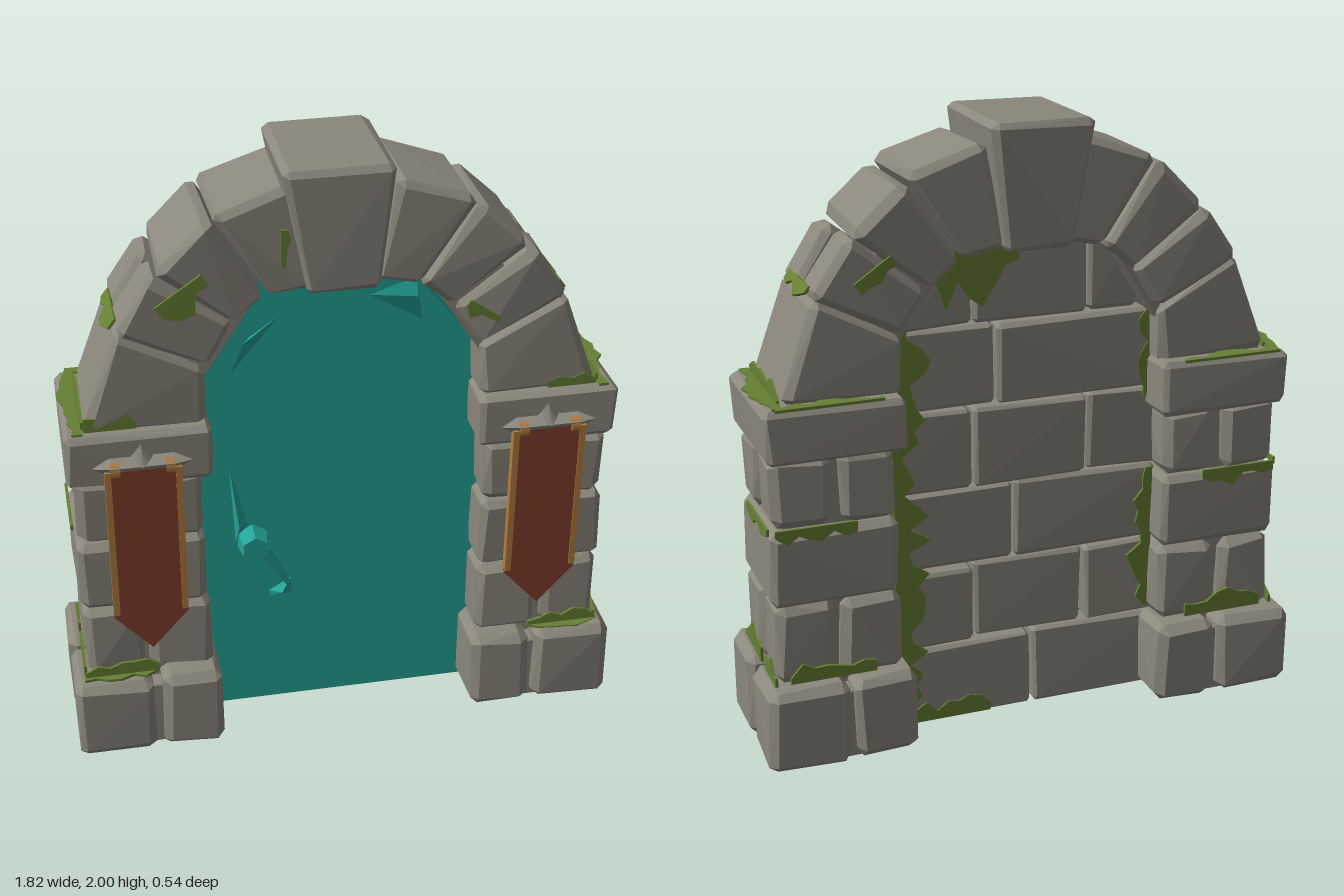
import * as THREE from 'three';
import { ConvexGeometry } from 'three/addons/geometries/ConvexGeometry.js';

const mat = (name, color, side = THREE.FrontSide) => {
  const m = new THREE.MeshStandardMaterial({ color, side });
  m.name = name;
  return m;
};

export function createModel() {
  const stoneMat = mat('stone grey', 0x8b877c);
  const mossMat = mat('moss green', 0x668033);
  const doorMat = mat('door teal', 0x23a598);
  const clothMat = mat('banner red', 0x84402f);
  const trimMat = mat('trim ochre', 0xb57c40);

  let seed = 7;
  const rnd = () => (seed = (seed * 16807) % 2147483647) / 2147483647;

  const root = new THREE.Group();
  root.name = 'stoneArchDoorway';
  const group = (name) => {
    const g = new THREE.Group();
    g.name = name;
    root.add(g);
    return g;
  };
  const add = (parent, name, geo, material) => {
    const m = new THREE.Mesh(geo, material);
    m.name = name;
    parent.add(m);
    return m;
  };

  // Chipped stone: a four-cornered outline pushed through z, with cut, slightly uneven corners
  function stone(parent, name, [a, b, c, d], z0, z1, cut = 0.025, rough = 0.012) {
    const at = (u, v, w) => new THREE.Vector3(
      (1 - v) * ((1 - u) * a[0] + u * b[0]) + v * ((1 - u) * d[0] + u * c[0]),
      (1 - v) * ((1 - u) * a[1] + u * b[1]) + v * ((1 - u) * d[1] + u * c[1]),
      z0 + (z1 - z0) * w);
    const size = [
      at(0, 0.5, 0).distanceTo(at(1, 0.5, 0)),
      at(0.5, 0, 0).distanceTo(at(0.5, 1, 0)),
      Math.abs(z1 - z0)];
    const pts = [];
    for (let i = 0; i < 8; i++) {
      const side = [i & 1, (i >> 1) & 1, (i >> 2) & 1];
      const shift = side.map(() => rnd() * rough);
      for (let axis = 0; axis < 3; axis++) {
        const p = side.map((s, k) => {
          const inset = (shift[k] + rnd() * 0.003 + (k === axis ? 0 : cut * (0.6 + rnd() * 0.5))) / size[k];
          return s ? 1 - inset : inset;
        });
        pts.push(at(...p));
      }
    }
    return add(parent, name, new ConvexGeometry(pts), stoneMat);
  }
  const block = (parent, name, x0, x1, y0, y1, z0, z1, cut, rough) =>
    stone(parent, name, [[x0, y0], [x1, y0], [x1, y1], [x0, y1]], z0, z1, cut, rough);

  // Thin moss patch with one ragged edge
  const mossGroup = group('moss');
  function moss(w, h, pos, rot = [0, 0, 0]) {
    const s = new THREE.Shape();
    s.moveTo(-w / 2, h / 2);
    const n = Math.max(4, Math.round(w / 0.04));
    for (let i = 0; i <= n; i++) {
      const ends = Math.sin((Math.PI * (i + 0.6)) / (n + 1.2));
      s.lineTo(-w / 2 + (w * i) / n, h / 2 - h * (0.3 + 0.7 * rnd()) * (0.4 + 0.6 * ends));
    }
    s.lineTo(w / 2, h / 2);
    const geo = new THREE.ExtrudeGeometry(s, { depth: 0.009, bevelEnabled: false });
    geo.translate(0, 0, -0.005);
    const m = add(mossGroup, 'mossPatch', geo, mossMat);
    m.position.set(...pos);
    m.rotation.set(...rot);
  }

  const Q = Math.PI / 2;
  for (const s of [-1, 1]) {
    const pillar = group(s > 0 ? 'leftPillar' : 'rightPillar');
    const b = (name, x0, x1, ...rest) => block(pillar, name, s * x0, s * x1, ...rest);
    // Course of four stones parted by a cross-shaped gap
    const quarters = (name, x0, xm, x1, y0, y1, z0, z1, gap) => {
      for (const [xa, xb] of [[x0, xm - gap], [xm + gap, x1]])
        for (const [za, zb] of [[z0, -gap], [gap, z1]]) b(name, xa, xb, y0, y1, za, zb, 0.03);
    };
    b('pillarCore', 0.48, 0.82, 0.01, 1.1, -0.16, 0.16, 0.005, 0);
    b('footCore', 0.45, 0.88, 0.004, 0.24, -0.23, 0.22, 0.005, 0);
    quarters('footStone', 0.415, 0.635, 0.915, 0, 0.29, -0.275, 0.265, 0.004);
    quarters('lowerStone', 0.44, 0.66, 0.865, 0.27, 0.545, -0.205, 0.2, 0.004);
    b('middleStone', 0.445, 0.87, 0.535, 0.8, -0.205, 0.2);
    quarters('upperStone', 0.45, 0.65, 0.86, 0.785, 1.03, -0.205, 0.2, 0.012);
    b('capital', 0.42, 0.88, 1.01, 1.2, -0.245, 0.225, 0.02);

    // Moss on the ledges of foot and capital, and in the side joints
    moss(0.42, 0.07, [s * 0.85, 1.198, -0.01], [-Q, 0, s * Q]);
    moss(0.34, 0.06, [s * 0.67, 1.198, -0.205], [-Q, 0, 0]);
    moss(0.16, 0.08, [s * 0.73, 1.235, 0.178], [0, 0, Math.PI]);
    moss(0.34, 0.08, [s * 0.815, 1.235, 0], [0, s * Q, Math.PI]);
    moss(0.24, 0.08, [s * 0.745, 0.325, 0.2], [0, 0, Math.PI]);
    moss(0.24, 0.05, [s * 0.75, 0.286, 0.215], [-Q, 0, 0]);
    moss(0.2, 0.09, [s * 0.865, 0.325, 0.09], [0, s * Q, Math.PI]);
    moss(0.14, 0.08, [s * 0.865, 0.32, -0.13], [0, s * Q, Math.PI]);
    moss(0.26, 0.06, [s * 0.867, 0.775, -0.05], [0, s * Q, 0]);
    moss(0.1, 0.12, [s * 0.825, 0.93, -0.01], [0, s * Q, 0]);
    moss(0.26, 0.07, [s * 0.72, 0.77, -0.204], [0, Math.PI, 0]);
    moss(0.28, 0.09, [s * 0.68, 0.33, -0.204], [0, Math.PI, Math.PI]);

    // Arch stones, from the capital up to the keystone
    const arch = group(s > 0 ? 'leftArch' : 'rightArch');
    const v = (...pts) => pts.map(([x, y]) => [x * s, y]);
    stone(arch, 'springerStone', v([0.42, 1.18], [0.83, 1.18], [0.695, 1.53], [0.425, 1.365]), -0.195, 0.185);
    const second = v([0.425, 1.365], [0.715, 1.5], [0.585, 1.7], [0.33, 1.505]);
    stone(arch, 'archStone', second, 0.006, 0.185);
    stone(arch, 'archStone', second, -0.195, -0.012);
    stone(arch, 'archStone', v([0.335, 1.5], [0.59, 1.69], [0.41, 1.86], [0.23, 1.585]), -0.2, 0.18);
    stone(arch, 'archStone', v([0.235, 1.585], [0.42, 1.86], [0.15, 1.95], [0.09, 1.605]), -0.195, 0.18);
    stone(arch, 'archCore', v([0.45, 1.3], [0.7, 1.38], [0.38, 1.76], [0.26, 1.59]), -0.15, 0.15, 0.005, 0);
    moss(0.22, 0.07, [s * 0.71, 1.505, 0], [-Q, s * 0.9, s * Q]);

    // Hanging banner
    const banner = group(s > 0 ? 'leftBanner' : 'rightBanner');
    const cloth = new THREE.Shape(
      [[-0.118, 0], [-0.118, -0.55], [0, -0.685], [0.118, -0.55], [0.118, 0]].map((p) => new THREE.Vector2(...p)));
    add(banner, 'bannerCloth', new THREE.ExtrudeGeometry(cloth, { depth: 0.02, bevelEnabled: false }), clothMat);
    for (const e of [-1, 1]) {
      const trim = add(banner, 'bannerTrim', new THREE.BoxGeometry(0.02, 0.54, 0.028), trimMat);
      trim.position.set(e * 0.109, -0.27, 0.01);
      const wrap = add(banner, 'rodWrap', new THREE.CylinderGeometry(0.027, 0.027, 0.03, 6), trimMat);
      wrap.rotation.z = Q;
      wrap.position.set(e * 0.085, 0, 0.005);
    }
    const rod = add(banner, 'bannerRod', new ConvexGeometry([
      [-0.155, 0.01, 0], [-0.1, 0.03, -0.02], [0.1, 0.03, -0.02], [0.155, 0.01, 0], [-0.09, -0.028, 0],
      [0.09, -0.028, 0], [-0.1, 0.015, 0.022], [0.1, 0.015, 0.022]].map((p) => new THREE.Vector3(...p))), stoneMat);
    rod.position.z = 0.006;
    const hook = add(banner, 'bannerHook', new THREE.ConeGeometry(0.045, 0.06, 4), stoneMat);
    hook.position.set(0, 0.045, -0.01);
    banner.position.set(s * 0.643, 1.09, 0.233);
    banner.rotation.x = 0.03;
  }

  // Keystone
  stone(group('keystone'), 'keystoneBlock',
    [[-0.12, 1.6], [0.105, 1.6], [0.155, 2], [-0.2, 2]], -0.225, 0.215, 0.02, 0.006);

  // Moss on the arch front and back
  moss(0.17, 0.1, [-0.48, 1.6, 0.183], [0, 0, 0.6]);
  moss(0.12, 0.05, [-0.172, 1.75, 0.181], [0, 0, Q]);
  moss(0.12, 0.06, [0.42, 1.47, 0.183], [0, 0, -0.6]);
  moss(0.14, 0.07, [0.5, 1.56, -0.197], [0, Math.PI, 0.6]);

  // Brick wall closing the back of the opening
  const wall = group('backWall');
  const rows = 6, rowH = 1.62 / rows;
  for (let r = 0; r < rows; r++) {
    const half = r === rows - 1 ? 0.4 : 0.48;
    const cuts = r % 2 ? [-half, -0.22, 0.17, half] : [-half, 0.03 + (r - 2) * 0.03, half];
    for (let i = 0; i < cuts.length - 1; i++) {
      const back = -0.085 - rnd() * 0.02;
      block(wall, 'wallBrick', cuts[i], cuts[i + 1], r * rowH, (r + 1) * rowH + 0.004, back, 0.01, 0.014, 0.008);
    }
  }
  moss(0.95, 0.14, [0.37, 0.5, -0.098], [0, Math.PI, Q]);
  moss(0.5, 0.15, [0.37, 1.2, -0.098], [0, Math.PI, Q]);
  moss(0.36, 0.22, [0.2, 1.49, -0.1], [0, Math.PI, 0]);
  moss(0.5, 0.09, [-0.41, 0.55, -0.098], [0, Math.PI, -Q]);
  moss(0.3, 0.09, [-0.41, 1.2, -0.098], [0, Math.PI, -Q]);
  moss(0.26, 0.1, [0.25, 0.06, -0.1], [0, Math.PI, Math.PI]);

  // Teal door with lever handle
  const door = group('door');
  const edge = [[0.47, 0.004], [0.47, 1.22], [0.45, 1.38], [0.35, 1.53], [0.24, 1.61], [0.1, 1.63]];
  const outline = [...edge, ...edge.map(([x, y]) => [-x, y]).reverse()].map((p) => new THREE.Vector2(...p));
  add(door, 'doorPanel',
    new THREE.ExtrudeGeometry(new THREE.Shape(outline), { depth: 0.05, bevelEnabled: false }), doorMat);
  const hull = (name, pts) =>
    add(door, name, new ConvexGeometry(pts.map((p) => new THREE.Vector3(...p))), doorMat);
  hull('doorChip', [[0.1, 1.51, 0.05], [0.27, 1.41, 0.05], [0.25, 1.56, 0.05], [0.25, 1.5, 0.07]]);
  hull('doorChip', [[0.25, 1.56, 0.05], [0.41, 1.36, 0.05], [0.36, 1.5, 0.05], [0.36, 1.45, 0.075]]);
  hull('doorChip', [[-0.34, 1.28, 0.05], [-0.28, 1.4, 0.05], [-0.18, 1.47, 0.05], [-0.3, 1.39, 0.07]]);
  hull('handlePlate', [[-0.355, 0.95, 0.05], [-0.34, 0.65, 0.05], [-0.3, 0.72, 0.05], [-0.33, 0.72, 0.075]]);
  const boss = add(door, 'handleBoss', new THREE.CylinderGeometry(0.045, 0.055, 0.07, 6).toNonIndexed(), doorMat);
  boss.geometry.computeVertexNormals();
  boss.rotation.x = Q;
  boss.position.set(-0.285, 0.66, 0.085);
  hull('handleLever', [[-0.27, 0.68, 0.09], [-0.23, 0.64, 0.09], [-0.19, 0.54, 0.1], [-0.165, 0.5, 0.09],
    [-0.21, 0.53, 0.09], [-0.27, 0.64, 0.12], [-0.185, 0.51, 0.12]]);
  hull('handleTip', [[-0.165, 0.52, 0.09], [-0.165, 0.46, 0.09], [-0.235, 0.45, 0.09], [-0.24, 0.475, 0.09],
    [-0.2, 0.48, 0.12]]);

  return root;
}
